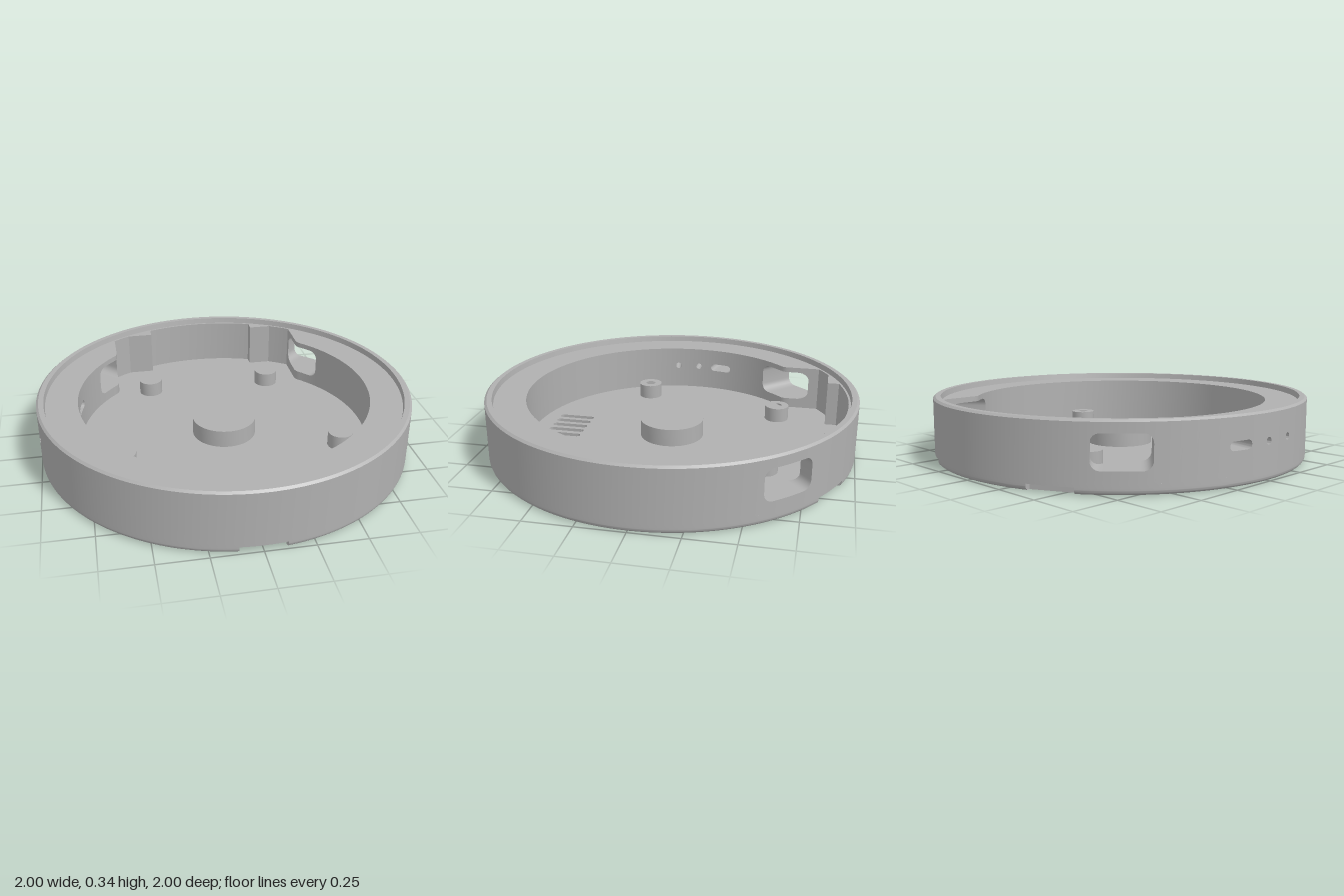
import * as THREE from 'three';
import { toCreasedNormals } from 'three/addons/utils/BufferGeometryUtils.js';

// Plan coordinates: (x, y) with y pointing to the back; angles run from the back towards +x.
const RAD = Math.PI / 180;
const UNDER = 0.035, FLOOR = 0.055, LEDGE = 0.305;
const INNER = 0.785, POCKET = 0.945;
const plan = (deg, r = 1) => new THREE.Vector2(Math.sin(deg * RAD) * r, Math.cos(deg * RAD) * r);
const degOf = (p) => Math.atan2(p.x, p.y) / RAD;
const pocketHalf = (s) => 0.55 + 0.008 * s;
const blockHalf = (s) => 0.318 + 0.008 * s;

// Inner radius of the wall: round, with a pocket and two corner blocks at the back
function innerRadius(deg) {
  const a = Math.abs(deg) * RAD, s = Math.sign(deg) || 1;
  if (a > Math.PI / 3) return INNER;
  const sin = Math.max(Math.sin(a), 1e-4);
  const block = Math.max(blockHalf(s) / sin, 0.83 / Math.cos(a));
  return Math.max(INNER, Math.min(POCKET, pocketHalf(s) / sin, block));
}

// A wall column runs parallel to direction deg, offset sideways by t
function column(deg, t = 0, extra = {}) {
  const d = plan(deg), e = new THREE.Vector2(d.y, -d.x);
  const at = (s) => d.clone().multiplyScalar(s).addScaledVector(e, t);
  let lo = 0.6, hi = 0.999;
  for (let i = 0; i < 40; i++) {
    const mid = (lo + hi) / 2, p = at(mid);
    if (p.length() < innerRadius(degOf(p))) lo = mid; else hi = mid;
  }
  return { outer: at(Math.sqrt(1 - t * t)), inner: at(hi), ...extra };
}

function wallColumns() {
  const openings = [
    { deg: 46, w: 0.139, h: 0.083, r: 0.045 },
    { deg: -46, w: 0.139, h: 0.083, r: 0.045 },
    { deg: -78.5, w: 0.065, h: 0.022, r: 0.022 },
    { deg: -89, w: 0.018, h: 0.018, r: 0.018 },
    { deg: -98.5, w: 0.018, h: 0.018, r: 0.018 },
  ];
  const cols = [], spans = [];
  openings.forEach((o, id) => {
    const n = 20, group = [];
    for (let k = 0; k <= n; k++) {
      const t = -o.w * Math.cos(Math.PI * k / n);
      const c = Math.max(0, Math.abs(t) - (o.w - o.r));
      const half = o.h - o.r + Math.sqrt(Math.max(0, o.r * o.r - c * c));
      group.push(column(o.deg, t, { hole: id, lo: 0.193 - half, hi: 0.193 + half, first: k === 0, last: k === n }));
    }
    const degs = group.flatMap((g) => [degOf(g.outer), degOf(g.inner)]);
    spans.push([Math.min(...degs) - 0.4, Math.max(...degs) + 0.4]);
    cols.push(...group);
  });
  const angles = [];
  for (let a = -180; a < 180; a += 2) angles.push(a);
  for (const s of [-1, 1]) {
    const w = pocketHalf(s), b = blockHalf(s);
    for (const k of [Math.asin(b / POCKET), Math.atan(b / 0.83), Math.acos(0.83 / POCKET),
      Math.asin(w / POCKET), Math.asin(w / INNER)]) angles.push(s * k / RAD);
  }
  for (const a of angles) if (!spans.some(([p, q]) => a > p && a < q)) cols.push(column(a));
  const key = (c) => { const a = degOf(c.outer); return a > 179.9 ? -180 : a; };
  return cols.sort((a, b) => key(a) - key(b));
}

// Thick wall with rim, ledge, side windows, slot and pin holes
function wallGeometry() {
  const pos = [];
  const quad = (a, b, c, d) => { for (const p of [a, b, c, a, c, d]) pos.push(...p); };
  const O = (c, y, k = 1) => [c.outer.x * k, y, -c.outer.y * k];
  const I = (c, y) => [c.inner.x, y, -c.inner.y];
  const rim = (c) => [O(c, 0.325), O(c, 0.335, 0.988), O(c, 0.335, 0.961), O(c, LEDGE, 0.956), I(c, LEDGE)];
  const sweep = (p, q) => { for (let k = 0; k + 1 < p.length; k++) quad(q[k], p[k], p[k + 1], q[k + 1]); };
  const cols = wallColumns();
  cols.forEach((c, i) => {
    const n = cols[(i + 1) % cols.length];
    if (c.hole !== undefined && c.hole === n.hole) {
      const below = (k) => [O(k, FLOOR), O(k, k.lo), I(k, k.lo), I(k, FLOOR)];
      const above = (k) => [O(k, k.hi), ...rim(k), I(k, k.hi), O(k, k.hi)];
      sweep(below(c), below(n));
      sweep(above(c), above(n));
    } else {
      const solid = (k) => [O(k, FLOOR), ...rim(k), I(k, FLOOR)];
      sweep(solid(c), solid(n));
    }
    if (c.first) quad(I(c, c.lo), O(c, c.lo), O(c, c.hi), I(c, c.hi));
    if (c.last) quad(O(c, c.lo), I(c, c.lo), I(c, c.hi), O(c, c.hi));
  });
  const g = new THREE.BufferGeometry();
  g.setAttribute('position', new THREE.Float32BufferAttribute(pos, 3));
  return toCreasedNormals(g, 0.5);
}

const circle = (x, y, r, n = 32) => new THREE.Path(
  Array.from({ length: n }, (_, i) => plan(90 + i * 360 / n, r).add(new THREE.Vector2(x, y))));

function slot(x, y, r, half) {
  const p = new THREE.Path();
  p.absarc(x, y + half, r, 0, Math.PI);
  p.absarc(x, y - half, r, Math.PI, 2 * Math.PI);
  p.closePath();
  return p;
}

function extrude(points, holes, y0, y1, steps = 1) {
  const shape = new THREE.Shape(points);
  shape.holes.push(...holes);
  const g = new THREE.ExtrudeGeometry(shape, { depth: y1 - y0, steps, bevelEnabled: false, curveSegments: 10 });
  return g.rotateX(-Math.PI / 2).translate(0, y0, 0);
}

// Round outline, optionally with three flat notches
function outline(notched) {
  const pts = [], notches = [-27.5, 27.5, 180], half = Math.asin(0.115) / RAD;
  const items = [];
  for (let a = -170; a < 190; a += 2) {
    if (!notched || notches.every((n) => Math.abs(a - n) > half + 0.2)) items.push([a, [plan(a)]]);
  }
  if (notched) for (const n of notches) {
    const d = plan(n), e = new THREE.Vector2(d.y, -d.x);
    const flat = (t) => d.clone().multiplyScalar(0.95).addScaledVector(e, t);
    items.push([n, [plan(n - half), flat(-0.115), flat(0.115), plan(n + half)]]);
  }
  items.sort((a, b) => a[0] - b[0]).forEach(([, p]) => pts.push(...p));
  return pts;
}

export function createModel() {
  const model = new THREE.Group();
  model.name = 'roundHousing';
  const grey = new THREE.MeshStandardMaterial({ color: 0xb0b0b0 });
  grey.name = 'grey plastic';
  const add = (name, geometry) => {
    const mesh = new THREE.Mesh(geometry, grey);
    mesh.name = name;
    model.add(mesh);
  };

  const screws = [[-0.35, 0.55], [0.365, 0.55], [-0.576, -0.255], [0.592, -0.255]];
  const vents = () => [-2, -1, 0, 1, 2].map((i) => slot(i * 0.064, -0.595, 0.018, 0.082));

  // Underside: notched, counterbored, with a rounded lower edge
  const under = extrude(outline(true), [
    ...screws.map(([x, y]) => circle(x, y, 0.043)),
    circle(0.26, 0, 0.043), circle(-0.26, 0, 0.043), circle(0, 0, 0.07), ...vents(),
  ], 0, UNDER, 7);
  const p = under.attributes.position, R = 0.025;
  for (let i = 0; i < p.count; i++) {
    const r = Math.hypot(p.getX(i), p.getZ(i)), drop = Math.max(0, R - p.getY(i));
    const limit = 1 - R + Math.sqrt(Math.max(0, R * R - drop * drop));
    if (r > limit) {
      p.setX(i, p.getX(i) * limit / r);
      p.setZ(i, p.getZ(i) * limit / r);
    }
  }
  add('underside', toCreasedNormals(under, 0.5));

  // Floor plate
  add('floor', toCreasedNormals(extrude(outline(false), [
    ...screws.map(([x, y]) => circle(x, y, 0.028)), circle(0, 0, 0.07), ...vents(),
  ], UNDER, FLOOR), 0.5));

  add('wall', wallGeometry());

  // Central hub with a hexagonal socket
  add('hub', toCreasedNormals(extrude(circle(0, 0, 0.173, 64).getPoints(),
    [circle(0, 0, 0.132, 6)], FLOOR, 0.15), 0.5));

  // Screw posts
  for (const [x, y] of screws) {
    add('screwPost', toCreasedNormals(extrude(circle(x, y, 0.067).getPoints(),
      [circle(x, y, 0.028)], FLOOR, 0.135), 0.5));
  }
  return model;
}
